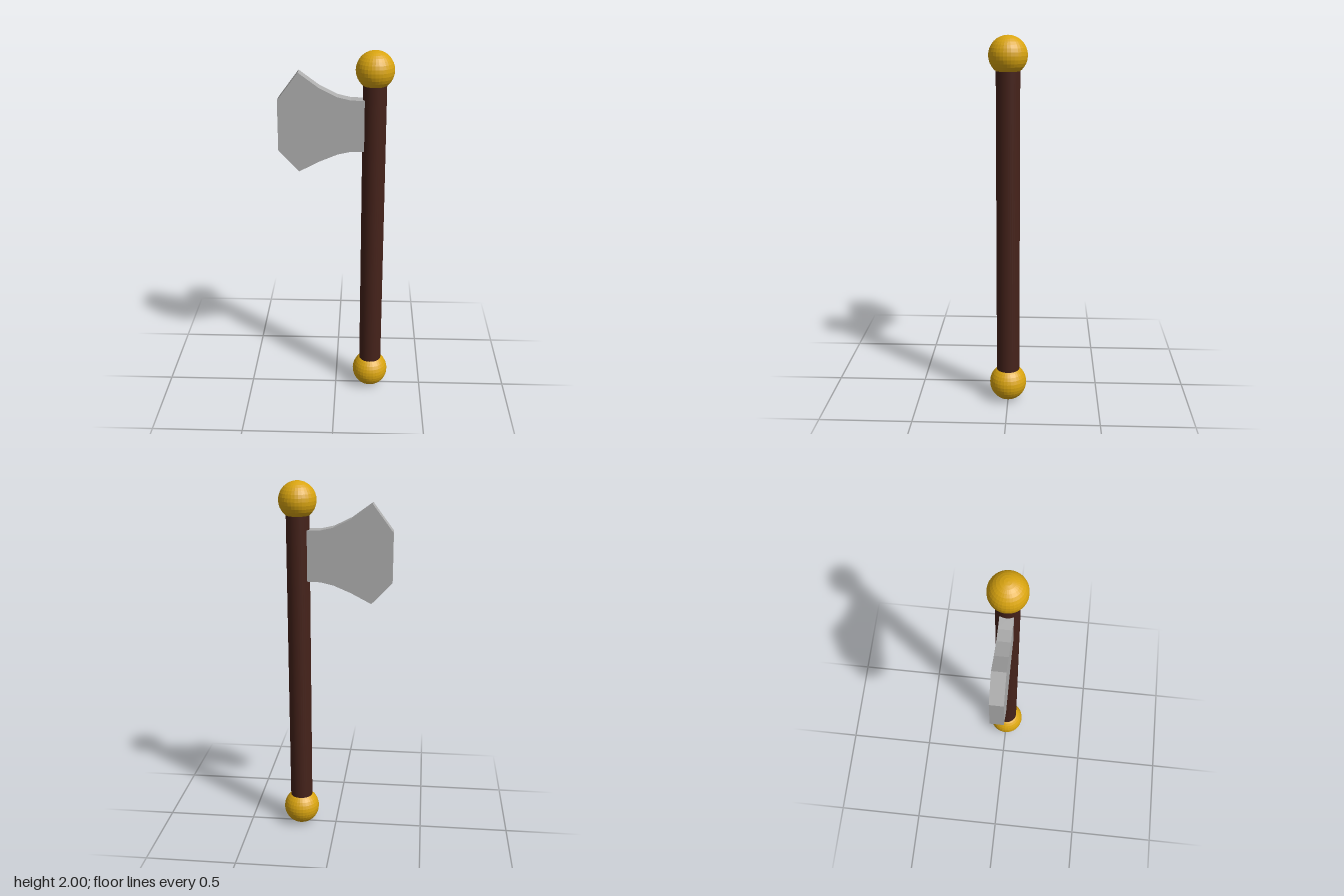
import * as THREE from 'three';

const AXIS_X = 0.203;
const KNOB_R = 0.101;

export function createModel() {
  const model = new THREE.Group();
  const wood = new THREE.MeshStandardMaterial({ color: 0x45221a });
  const gold = new THREE.MeshStandardMaterial({ color: 0xdaa510, flatShading: true });
  const steel = new THREE.MeshStandardMaterial({ color: 0xb0b0b0, flatShading: true });

  function add(name, geometry, material, x, y, z) {
    const mesh = new THREE.Mesh(geometry, material);
    mesh.name = name;
    mesh.position.set(x, y, z);
    model.add(mesh);
  }

  // Round shaft, ending inside the two knobs
  add('handle', new THREE.CylinderGeometry(0.0625, 0.0625, 1.8, 32), wood, AXIS_X, 1, 0);

  // Faceted knob at each end
  const knob = new THREE.SphereGeometry(KNOB_R, 32, 16);
  add('bottomKnob', knob, gold, AXIS_X, KNOB_R, 0);
  add('topKnob', knob, gold, AXIS_X, 2 - KNOB_R, 0);

  // Blade: flared outline, sunk into the handle
  const outline = [
    [0.17, 1.745], [0.08, 1.747], [0.01, 1.763], [-0.085, 1.81], [-0.194, 1.89],
    [-0.304, 1.743], [-0.304, 1.472],
    [-0.194, 1.356], [-0.085, 1.413], [0.01, 1.453], [0.08, 1.469], [0.17, 1.471],
  ].map(([x, y]) => new THREE.Vector2(x, y));
  const depth = 0.07;
  const blade = new THREE.ExtrudeGeometry(new THREE.Shape(outline), { depth, bevelEnabled: false });
  add('blade', blade, steel, 0, 0, -depth / 2);

  return model;
}
